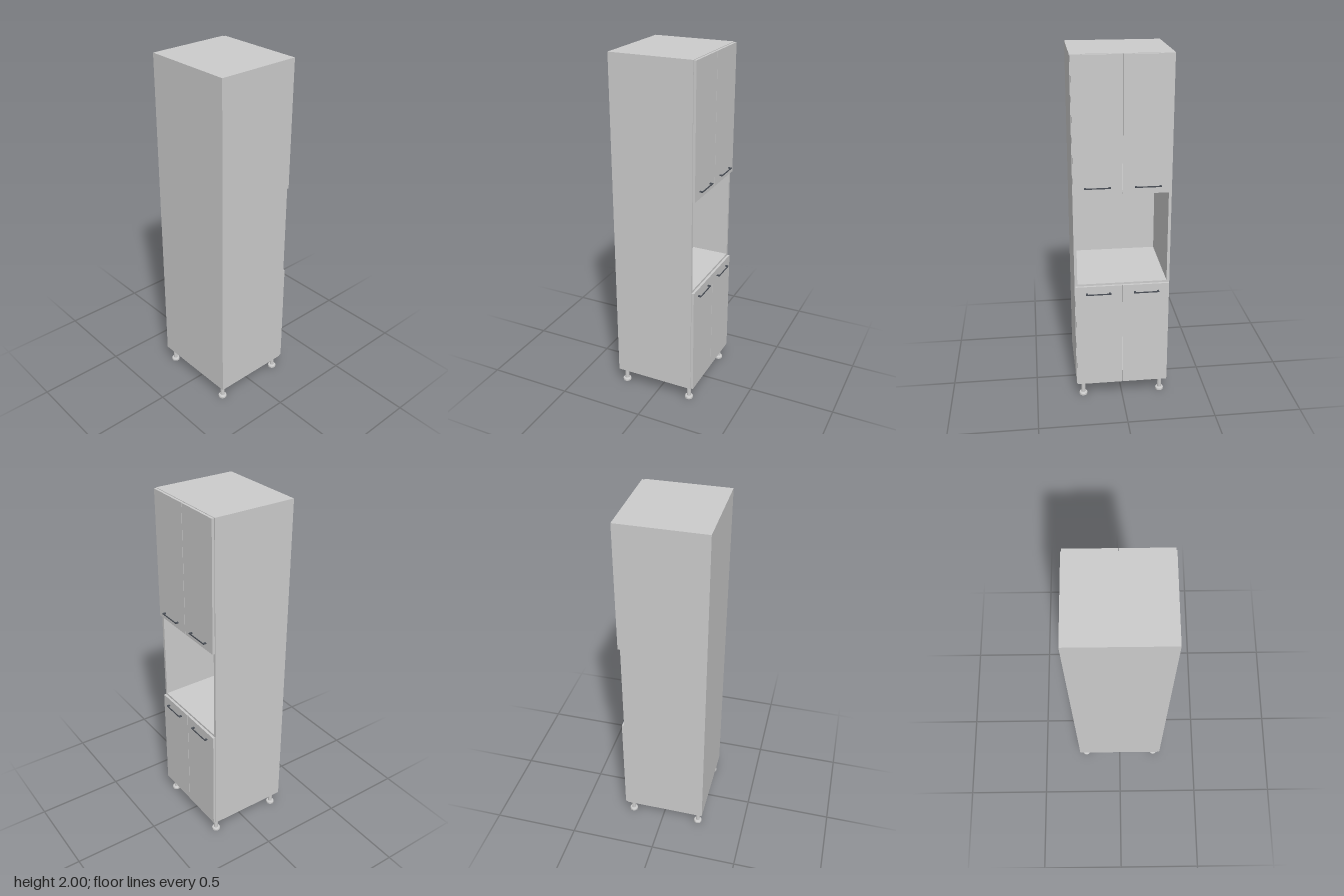
import * as THREE from 'three';

const grey = new THREE.MeshStandardMaterial({ color: 0xcccccc });
const dark = new THREE.MeshStandardMaterial({ color: 0x4a4f57 });

// Box given by its min and max corners
function slab(name, [x0, y0, z0], [x1, y1, z1], material = grey) {
  const mesh = new THREE.Mesh(new THREE.BoxGeometry(x1 - x0, y1 - y0, z1 - z0), material);
  mesh.position.set((x0 + x1) / 2, (y0 + y1) / 2, (z0 + z1) / 2);
  mesh.name = name;
  return mesh;
}

// Bow handle: a flat bar on two posts, standing out towards -z
function makeHandle(x, y) {
  const g = new THREE.Group();
  g.name = 'handle';
  const half = 0.071, h = 0.003;
  g.add(slab('handleBar', [-half, -h, -0.253], [half, h, -0.249], dark));
  for (const s of [-1, 1]) {
    const cx = s * (half - 0.0055);
    g.add(slab('handlePost', [cx - 0.0055, -h, -0.249], [cx + 0.0055, h, -0.235], dark));
  }
  g.position.set(x, y, 0);
  return g;
}

// Adjustable foot: wide pad, slim stem
function makeLeg(x, z) {
  const points = [[0, 0], [0.024, 0], [0.024, 0.01], [0.021, 0.015], [0.012, 0.016], [0.012, 0.092], [0, 0.092]]
    .map(([r, y]) => new THREE.Vector2(r, y));
  const geo = new THREE.LatheGeometry(points, 24).toNonIndexed();
  geo.computeVertexNormals();
  const leg = new THREE.Mesh(geo, grey);
  leg.name = 'leg';
  leg.position.set(x, 0, z);
  return leg;
}

export function createModel() {
  const model = new THREE.Group();
  model.name = 'tallCabinet';

  const W = 0.267, T = 0.016, front = -0.22, back = 0.252;
  const inner = W - T, base = 0.09, top = 2;

  // Carcass
  model.add(slab('rightSide', [-W, base, front], [-inner, top, back]));
  model.add(slab('leftSide', [inner, base, front], [W, top, back]));
  model.add(slab('backPanel', [-inner, base, back - 0.008], [inner, top, back]));
  const boards = [['bottomBoard', base], ['nicheFloor', 0.72], ['nicheCeiling', 1.268], ['topBoard', top - T]];
  for (const [name, y] of boards) {
    model.add(slab(name, [-inner, y, front], [inner, y + T, back - 0.008]));
  }

  // Two pairs of doors, each door with its handle next to the niche
  const pairs = [
    { name: 'lowerDoor', y0: 0.092, y1: 0.725, handleY: 0.682 },
    { name: 'upperDoor', y0: 1.265, y1: 1.998, handleY: 1.306 },
  ];
  for (const { name, y0, y1, handleY } of pairs) {
    for (const s of [-1, 1]) {
      const a = s * 0.0015, b = s * 0.263;
      model.add(slab(name, [Math.min(a, b), y0, -0.235], [Math.max(a, b), y1, -0.221]));
      model.add(makeHandle(s * 0.135, handleY));
    }
  }

  // Feet
  for (const x of [-0.228, 0.228]) {
    for (const z of [-0.195, 0.22]) model.add(makeLeg(x, z));
  }
  return model;
}
